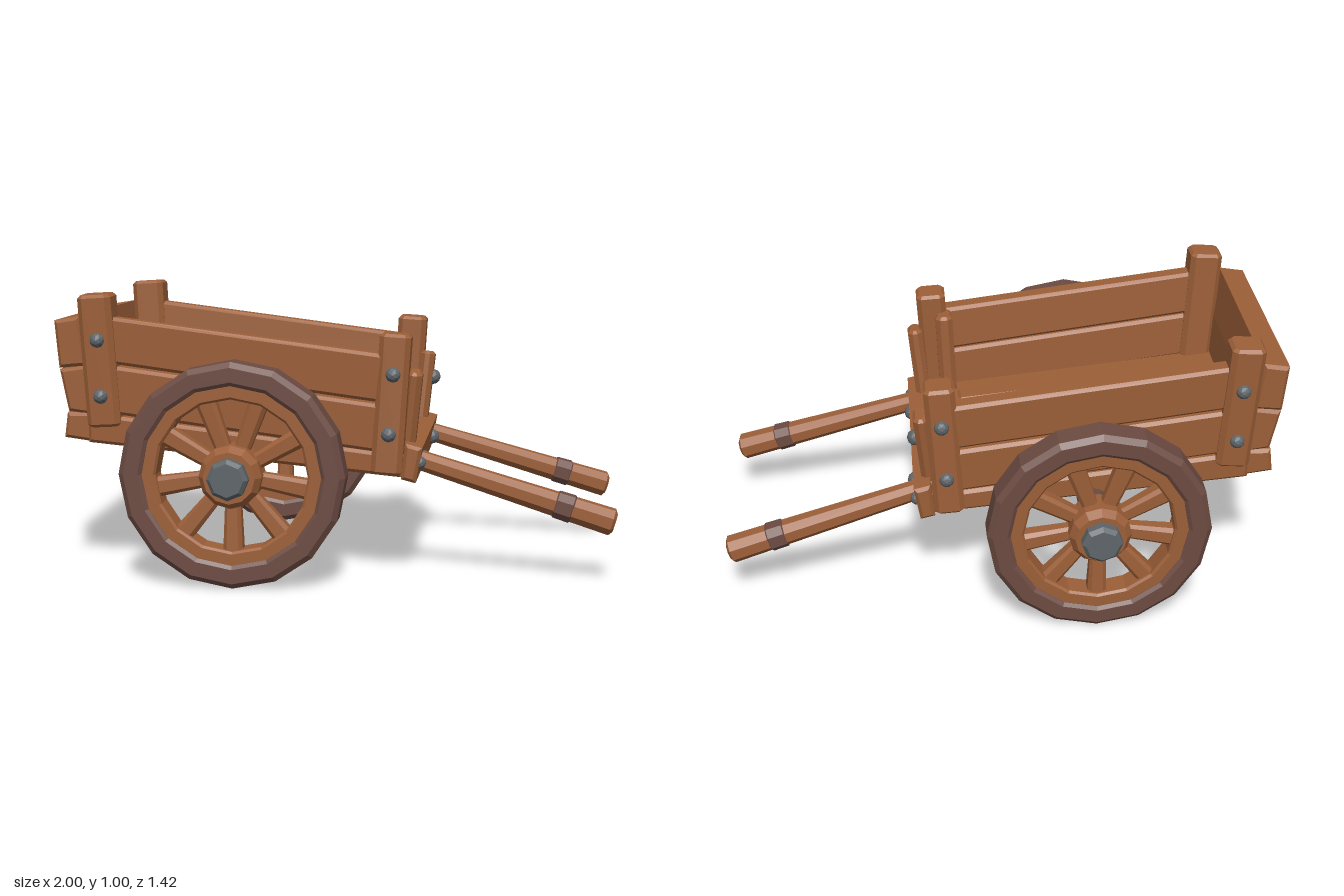
import * as THREE from 'three';

const mat = (name, color) => Object.assign(new THREE.MeshStandardMaterial({ color }), { name });
const V = (x, y, z) => new THREE.Vector3(x, y, z);

export function createModel() {
  const wood = mat('wood', 0x9c5f38);
  const darkWood = mat('darkWood', 0x6c4b42);
  const metal = mat('metal', 0x5e6569);
  const cart = new THREE.Group();
  cart.name = 'handcart';

  // Faceted mesh
  function add(name, geo, material, parent = cart) {
    const g = geo.index ? geo.toNonIndexed() : geo;
    g.computeVertexNormals();
    const m = new THREE.Mesh(g, material);
    m.name = name;
    parent.add(m);
    return m;
  }

  // Chamfered extrusion centred on z = 0
  function prism(pts, depth, bevel) {
    const shape = new THREE.Shape(pts.map(p => new THREE.Vector2(p[0], p[1])));
    const g = new THREE.ExtrudeGeometry(shape, {
      depth: depth - 2 * bevel, bevelEnabled: true, bevelSegments: 1,
      bevelSize: bevel, bevelThickness: bevel, bevelOffset: -bevel,
    });
    return g.translate(0, 0, -depth / 2 + bevel);
  }

  // Board with an xy outline, leaning outwards in z with height
  function board(name, pts, z, depth, lean = 0, bevel = 0.012) {
    const g = prism(pts, depth, bevel);
    const p = g.attributes.position;
    for (let i = 0; i < p.count; i++) p.setZ(i, p.getZ(i) + z + lean * (p.getY(i) - 0.5));
    return add(name, g, wood);
  }

  // Chamfered bar from a to b; w runs along the hint direction, end scaled by taper
  function bar(name, a, b, w, h, hint, { taper = 1, material = wood, parent = cart, c = 0.018 } = {}) {
    const x = w / 2, y = h / 2, len = a.distanceTo(b);
    const g = prism([[-x + c, -y], [x - c, -y], [x, -y + c], [x, y - c],
      [x - c, y], [-x + c, y], [-x, y - c], [-x, -y + c]], len, Math.min(c * 0.6, 0.014));
    const p = g.attributes.position;
    for (let i = 0; i < p.count; i++) {
      const k = 1 + (taper - 1) * (p.getZ(i) / len + 0.5);
      p.setXY(i, p.getX(i) * k, p.getY(i) * k);
    }
    const dir = b.clone().sub(a).normalize();
    const side = hint.clone().addScaledVector(dir, -hint.dot(dir)).normalize();
    g.applyMatrix4(new THREE.Matrix4().makeBasis(side, dir.clone().cross(side), dir)
      .setPosition(a.clone().add(b).multiplyScalar(0.5)));
    return add(name, g, material, parent);
  }

  const bolt = (x, y, z, r = 0.027) =>
    add('bolt', new THREE.IcosahedronGeometry(r, 1), metal).position.set(x, y, z);

  // Ring or drum turned about the z axis
  const turned = (profile, sides) => new THREE.LatheGeometry(
    profile.map(p => new THREE.Vector2(p[0], p[1])), sides).rotateX(Math.PI / 2);

  const X = V(1, 0, 0), Z = V(0, 0, 1);

  // Floor: base panel and planks
  board('floorBase', [[-0.93, 0.475], [0.25, 0.365], [0.25, 0.43], [-0.93, 0.55]], 0, 0.74);
  const seams = [-0.37, -0.25, -0.14, -0.02, 0.08, 0.205, 0.37];
  for (let i = 0; i < seams.length - 1; i++) {
    const lift = i % 2 ? 0.004 : 0;
    board('floorPlank', [[-0.91, 0.52], [0.26, 0.41], [0.26, 0.468 + lift], [-0.91, 0.588 + lift]],
      (seams[i] + seams[i + 1]) / 2, seams[i + 1] - seams[i] - 0.003, 0, 0.008);
  }

  // Tailboard and front crossbeam
  board('tailboardTop', [[-1.0, 0.905], [-0.908, 0.92], [-0.885, 0.745], [-0.985, 0.735]], 0, 0.83);
  board('tailboardMiddle', [[-0.985, 0.73], [-0.885, 0.745], [-0.875, 0.57], [-0.955, 0.58]], 0, 0.82);
  board('tailboardBottom', [[-0.96, 0.575], [-0.86, 0.575], [-0.86, 0.47], [-0.972, 0.485]], 0, 0.82);
  board('frontCrossbeam', [[0.24, 0.36], [0.292, 0.347], [0.315, 0.472], [0.255, 0.487]], 0, 0.86);

  for (const s of [1, -1]) {
    // Side boards
    const lean = 0.04 * s;
    board('sideBoardTop', [[-0.89, 0.932], [0.21, 0.795], [0.2, 0.625], [-0.88, 0.765]], s * 0.378, 0.075, lean);
    board('sideBoardMiddle', [[-0.88, 0.758], [0.2, 0.618], [0.19, 0.45], [-0.88, 0.585]], s * 0.382, 0.075, lean);
    board('sideBoardBottom', [[-0.88, 0.578], [0.25, 0.443], [0.24, 0.365], [-0.88, 0.47]], s * 0.38, 0.085, lean);

    // Corner posts and inner stakes
    bar('rearPost', V(-0.818, 0.53, s * 0.385), V(-0.845, 1.0, s * 0.398), 0.12, 0.12, X);
    bar('frontPost', V(0.188, 0.375, s * 0.385), V(0.22, 0.87, s * 0.38), 0.11, 0.112, X);
    bar('innerStake', V(0.155, 0.44, s * 0.305), V(0.172, 0.8, s * 0.322), 0.065, 0.1, X);
    bar('frontStake', V(0.253, 0.44, s * 0.31), V(0.284, 0.735, s * 0.338), 0.055, 0.095, X);

    // Pull shafts with dark grips
    const a = V(0.25, 0.43, s * 0.325), b = V(0.988, 0.212, s * 0.367);
    bar('shaft', a, b, 0.068, 0.064, Z, { taper: 1.42 });
    bar('shaftGrip', a.clone().lerp(b, 0.705), a.clone().lerp(b, 0.815), 0.094, 0.091, Z,
      { taper: 1.04, material: darkWood, c: 0.024 });

    // Bolts
    bolt(-0.832, 0.84, s * 0.452);
    bolt(-0.825, 0.64, s * 0.446);
    bolt(0.213, 0.73, s * 0.437);
    bolt(0.198, 0.52, s * 0.437);
    bolt(0.303, 0.415, s * 0.385, 0.024);
    bolt(0.303, 0.41, s * 0.25, 0.03);

    // Wheel
    const wheel = new THREE.Group();
    wheel.name = s > 0 ? 'leftWheel' : 'rightWheel';
    wheel.position.set(-0.325, 0.395, s * 0.578);
    if (s < 0) wheel.rotation.y = Math.PI;
    cart.add(wheel);
    add('tyre', turned([[0.312, -0.05], [0.325, -0.06], [0.375, -0.06], [0.394, -0.043],
      [0.394, 0.043], [0.375, 0.06], [0.325, 0.06], [0.312, 0.05], [0.312, -0.05]], 16), darkWood, wheel);
    add('rim', turned([[0.265, -0.04], [0.273, -0.048], [0.318, -0.048],
      [0.318, 0.048], [0.273, 0.048], [0.265, 0.04], [0.265, -0.04]], 16), wood, wheel);
    for (let i = 0; i < 9; i++) {
      const t = -Math.PI / 2 + i * Math.PI * 2 / 9;
      const d = V(Math.cos(t), Math.sin(t), 0);
      bar('spoke', d.clone().multiplyScalar(0.07), d.clone().multiplyScalar(0.28),
        0.05, 0.052, Z, { taper: 1.35, parent: wheel, c: 0.01 });
    }
    add('hub', turned([[0, -0.06], [0.085, -0.06], [0.108, -0.035], [0.11, 0.06],
      [0.09, 0.088], [0, 0.088]], 12), wood, wheel);
    add('hubCap', turned([[0.072, 0.08], [0.072, 0.118], [0.058, 0.132], [0, 0.132]], 8), metal, wheel);
    add('axleCollar', turned([[0, -0.1], [0.066, -0.1], [0.075, -0.09], [0.075, -0.05], [0, -0.05]], 12), darkWood, wheel);
  }

  // Bolt on one front stake only, and the axle
  bolt(0.302, 0.635, -0.33, 0.03);
  const axle = add('axle', new THREE.CylinderGeometry(0.055, 0.055, 1.06, 12).rotateX(Math.PI / 2), darkWood);
  axle.position.set(-0.325, 0.395, 0);
  return cart;
}
